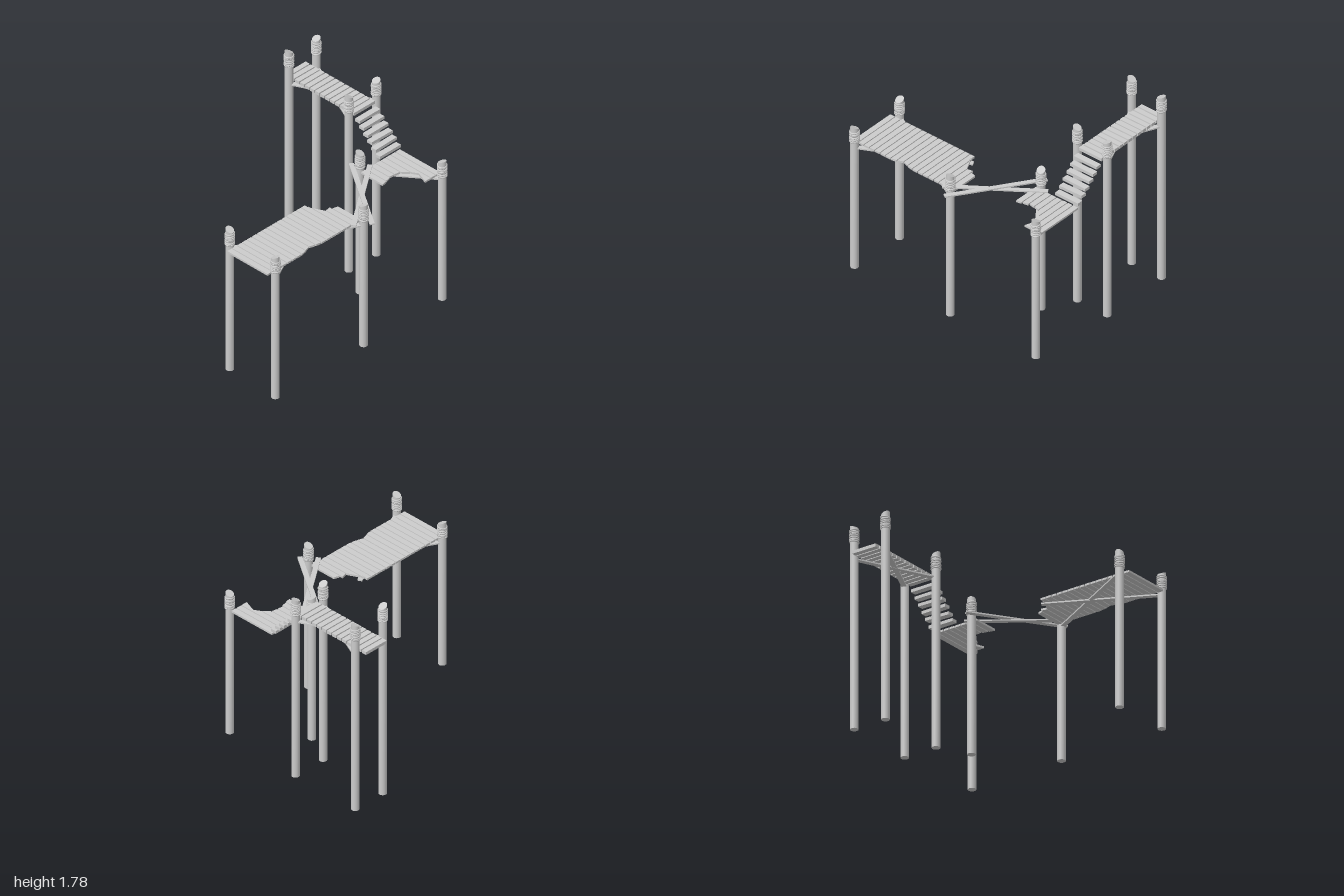
import * as THREE from 'three';

const mat = new THREE.MeshStandardMaterial({ color: 0xcccccc });
const R = 0.034; // post radius

function seeded(seed) {
  let s = seed;
  return () => (s = (s * 16807) % 2147483647) / 2147483647;
}
const rnd = seeded(4711);
const jitter = (a) => (rnd() * 2 - 1) * a;

function add(parent, name, geometry) {
  const mesh = new THREE.Mesh(geometry, mat);
  mesh.name = name;
  parent.add(mesh);
  return mesh;
}

// Round post with a slanted top cut and rope wound below it
function post(parent, x, z, top, slopeX, slopeZ) {
  const g = new THREE.Group();
  g.name = 'post';
  g.position.set(x, 0, z);
  const geo = new THREE.CylinderGeometry(R, R, top, 20);
  geo.translate(0, top / 2, 0);
  const p = geo.attributes.position;
  for (let i = 0; i < p.count; i++) {
    if (p.getY(i) > top / 2) p.setY(i, top + slopeX * p.getX(i) + slopeZ * p.getZ(i));
  }
  geo.computeVertexNormals();
  add(g, 'postShaft', geo);
  for (let i = 0; i < 7; i++) {
    const ring = add(g, 'ropeWinding', new THREE.TorusGeometry(R + 0.001, 0.0075, 6, 20));
    ring.position.y = top - 0.035 - i * 0.0155;
    ring.rotation.set(Math.PI / 2 + jitter(0.16), jitter(0.16), 0);
  }
  parent.add(g);
}

// Flat board cut from an outline of [x, z] points
function board(parent, name, outline, y, thick) {
  const shape = new THREE.Shape(outline.map(([x, z]) => new THREE.Vector2(x, -z)));
  const geo = new THREE.ExtrudeGeometry(shape, { depth: thick, bevelEnabled: false });
  geo.rotateX(-Math.PI / 2);
  add(parent, name, geo).position.y = y;
}

// Straight beam between two points in plan
function beam(parent, name, [x0, z0], [x1, z1], y, w = 0.04, thick = 0.012) {
  const m = add(parent, name, new THREE.BoxGeometry(Math.hypot(x1 - x0, z1 - z0), thick, w));
  m.position.set((x0 + x1) / 2, y, (z0 + z1) / 2);
  m.rotation.y = -Math.atan2(z1 - z0, x1 - x0);
}

function group(parent, name) {
  const g = new THREE.Group();
  g.name = name;
  parent.add(g);
  return g;
}

export function createModel() {
  const model = new THREE.Group();
  model.name = 'ropewayPlatforms';

  // Posts: x, z, top height, slant of the cut
  const posts = group(model, 'posts');
  [
    [-0.935, 0.185, 1.325, 0, -0.45],
    [-0.955, 0.7, 1.33, 0, 0.4],
    [0.02, 0.7, 1.33, 0, 0.4],
    [0.505, 0.185, 1.325, -0.2, -0.4],
    [0.89, 0.7, 1.305, 0, 0.4],
    [0.65, -0.08, 1.655, -0.45, 0],
    [0.953, -0.08, 1.655, 0.35, 0],
    [0.65, -0.73, 1.76, -0.5, 0],
    [0.953, -0.73, 1.73, 0.35, 0],
  ].forEach((p) => post(posts, ...p));

  const pitch = 0.0545, half = 0.0235, deckY = 1.153, deckT = 0.017;

  // Large deck; the last planks and part of the front edge are broken
  const deck = group(model, 'largeDeck');
  const brokenBack = { 15: [0.22, 0.25], 16: [0.29, 0.385], 17: [0.385, 0.375], 18: [0.4, 0.415] };
  const brokenFront = { 7: [0.66, 0.65], 8: [0.645, 0.63], 9: [0.63, 0.645], 10: [0.65, 0.655] };
  for (let i = 0; i < 19; i++) {
    const x = -0.976 + i * pitch;
    const [b0, b1] = brokenBack[i] || [0.22, 0.22];
    const [f0, f1] = brokenFront[i] || [0.66, 0.66];
    const outline = [[x - half, b0], [x - half, f0], [x + half, f1], [x + half, b1]];
    if (i === 15) outline.push([x + 0.012, 0.28], [x + 0.018, 0.22]);
    board(deck, 'deckPlank', outline, deckY, deckT);
  }
  beam(deck, 'deckBrace', [-0.935, 0.185], [0.02, 0.7], 1.146);
  beam(deck, 'deckBrace', [-0.955, 0.7], [-0.11, 0.27], 1.144);

  // Crossed balance beams between the two lower decks
  const cross = group(model, 'crossingBeams');
  beam(cross, 'balanceBeam', [-0.075, 0.685], [0.595, 0.205], 1.172);
  beam(cross, 'balanceBeam', [0.03, 0.785], [0.495, 0.1], 1.183);

  // Small corner deck with a broken inner corner
  const corner = group(model, 'cornerDeck');
  const ends = [[0.455, 0.445], [0.44, 0.43], [0.42, 0.425], [0.425, 0.435], [0.44, 0.49], null, [0.66, 0.66], [0.66, 0.66]];
  ends.forEach((e, i) => {
    const x = 0.505 + i * pitch;
    const outline = e
      ? [[x - half, 0.22], [x - half, e[0]], [x + half, e[1]], [x + half, 0.22]]
      : [[x - half, 0.22], [x - half, 0.5], [x + 0.005, 0.55], [x - 0.035, 0.66], [x + half, 0.66], [x + half, 0.22]];
    board(corner, 'deckPlank', outline, deckY, deckT);
  });
  beam(corner, 'deckBrace', [0.505, 0.185], [0.89, 0.7], 1.143);

  // Upper deck with crossed braces beneath
  const upper = group(model, 'upperDeck');
  for (let i = 0; i < 14; i++) {
    const plank = add(upper, 'upperPlank', new THREE.BoxGeometry(0.228, 0.027, 0.044));
    plank.position.set(0.8, 1.477, -0.786 + i * pitch);
    plank.rotation.y = jitter(0.008);
  }
  beam(upper, 'upperBrace', [0.65, -0.73], [0.953, -0.08], 1.457);
  beam(upper, 'upperBrace', [0.953, -0.73], [0.65, -0.08], 1.455);

  // Stair treads from the corner deck to the upper deck
  const stairs = group(model, 'stairs');
  for (let i = 0; i < 6; i++) {
    const tread = add(stairs, 'stairTread', new THREE.BoxGeometry(0.23, 0.026, 0.052));
    tread.position.set(0.8, 1.43 - i * 0.0455, -0.022 + i * 0.0445);
    tread.rotation.z = 0.02 + jitter(0.03);
    tread.rotation.y = jitter(0.015);
  }
  return model;
}
